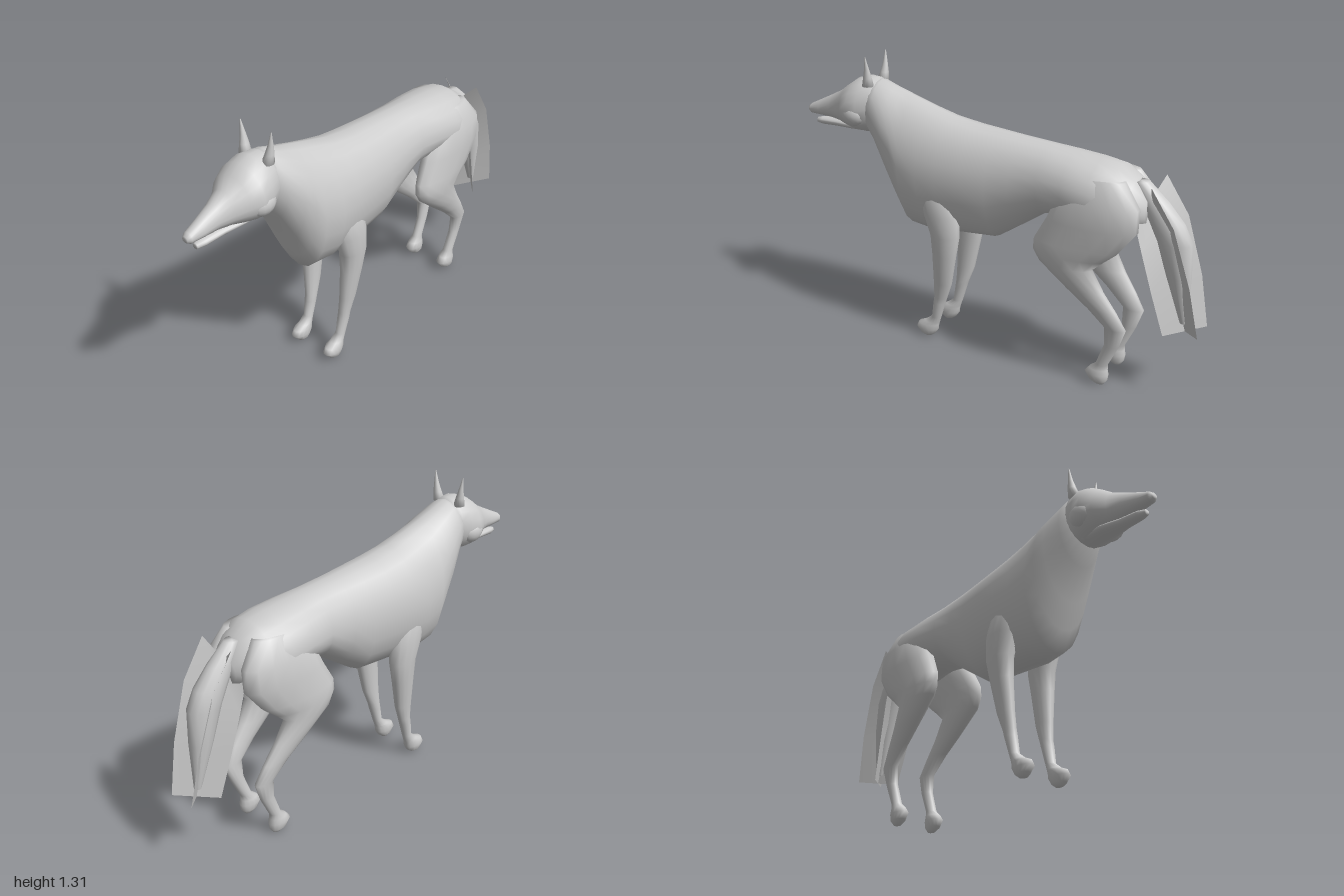
import * as THREE from 'three';

const SIDES = 20;

// Skins a list of closed rings, caps both ends and turns the faces outward.
function loft(rings) {
  const n = rings[0].length, pos = [], idx = [];
  rings.forEach(r => r.forEach(p => pos.push(...p)));
  for (let i = 0; i < rings.length - 1; i++)
    for (let j = 0; j < n; j++) {
      const a = i * n + j, b = i * n + (j + 1) % n;
      idx.push(a, b, a + n, b, b + n, a + n);
    }
  [0, rings.length - 1].forEach(i => {
    const c = pos.length / 3;
    pos.push(...[0, 1, 2].map(k => rings[i].reduce((s, p) => s + p[k], 0) / n));
    for (let j = 0; j < n; j++) {
      const a = i * n + j, b = i * n + (j + 1) % n;
      if (i === 0) idx.push(c, b, a); else idx.push(c, a, b);
    }
  });
  // signed volume decides the winding
  const v = k => new THREE.Vector3().fromArray(pos, idx[k] * 3);
  const mid = new THREE.Vector3(...rings[rings.length >> 1][0]);
  let vol = 0;
  for (let k = 0; k < idx.length; k += 3)
    vol += v(k).sub(mid).dot(v(k + 1).sub(mid).cross(v(k + 2).sub(mid)));
  if (vol < 0) idx.reverse();
  const g = new THREE.BufferGeometry();
  g.setAttribute('position', new THREE.Float32BufferAttribute(pos, 3));
  g.setIndex(idx);
  g.computeVertexNormals();
  return g;
}

// Upright ring: [z, top, bottom, half width, height of widest point, upper power]
function uprightRing([z, top, bottom, w, wide, power = 1]) {
  return Array.from({ length: SIDES }, (_, j) => {
    const a = j / SIDES * Math.PI * 2, c = Math.cos(a), s = Math.sin(a);
    const x = Math.sign(c) * Math.abs(c) ** (s > 0 ? power : 1) * w;
    return [x, wide + s * (s > 0 ? top - wide : wide - bottom), z];
  });
}

// Level ring: [y, front z, back z, centre x, half width], mirrored by side
const levelRing = side => ([y, front, back, x, w]) =>
  Array.from({ length: 14 }, (_, j) => {
    const a = j / 14 * Math.PI * 2;
    return [side * (x + Math.cos(a) * w), y, (front + back) / 2 + Math.sin(a) * (front - back) / 2];
  });

const BODY = [
  [0.64, 1.19, 0.97, 0.09, 1.08],
  [0.57, 1.195, 0.87, 0.118, 1.04, 1.1],
  [0.5, 1.17, 0.73, 0.145, 0.97, 1.2],
  [0.45, 1.155, 0.62, 0.158, 0.92, 1.2],
  [0.4, 1.14, 0.535, 0.168, 0.85, 1.2],
  [0.3, 1.11, 0.525, 0.176, 0.82, 1.2],
  [0.2, 1.08, 0.535, 0.177, 0.82, 1.1],
  [0.08, 1.06, 0.545, 0.17, 0.82],
  [-0.04, 1.05, 0.555, 0.16, 0.82],
  [-0.15, 1.04, 0.63, 0.15, 0.84],
  [-0.28, 1.03, 0.72, 0.145, 0.86],
  [-0.4, 1.02, 0.74, 0.163, 0.86],
  [-0.52, 1.008, 0.72, 0.175, 0.85],
  [-0.61, 0.995, 0.71, 0.16, 0.84],
  [-0.68, 0.95, 0.72, 0.125, 0.83],
  [-0.74, 0.88, 0.76, 0.07, 0.82],
];
const HEAD = [
  [0.55, 1.18, 0.97, 0.08, 1.08],
  [0.6, 1.2, 0.945, 0.105, 1.07],
  [0.65, 1.203, 0.94, 0.122, 1.06],
  [0.7, 1.187, 0.945, 0.128, 1.055, 1.1],
  [0.75, 1.152, 0.955, 0.108, 1.05],
  [0.8, 1.115, 0.965, 0.07, 1.03],
  [0.86, 1.084, 0.972, 0.047, 1.02],
  [0.93, 1.05, 0.974, 0.035, 1.005],
  [0.985, 1.024, 0.975, 0.026, 1.0],
  [1.0, 1.012, 0.985, 0.015, 0.998],
];
const JAW = [
  [0.64, 0.985, 0.942, 0.06, 0.965],
  [0.74, 0.982, 0.938, 0.055, 0.962],
  [0.83, 0.972, 0.934, 0.035, 0.955],
  [0.92, 0.966, 0.929, 0.026, 0.95],
  [0.955, 0.958, 0.932, 0.014, 0.945],
];
const FRONT_LEG = [
  [0.78, 0.31, 0.14, 0.115, 0.05],
  [0.65, 0.29, 0.11, 0.118, 0.055],
  [0.55, 0.255, 0.11, 0.118, 0.05],
  [0.45, 0.25, 0.13, 0.115, 0.042],
  [0.3, 0.252, 0.16, 0.106, 0.031],
  [0.22, 0.255, 0.19, 0.1, 0.026],
  [0.19, 0.26, 0.2, 0.1, 0.027],
  [0.11, 0.272, 0.225, 0.098, 0.022],
  [0.08, 0.31, 0.235, 0.097, 0.027],
  [0.065, 0.345, 0.24, 0.097, 0.033],
  [0.04, 0.358, 0.243, 0.097, 0.035],
  [0.015, 0.335, 0.26, 0.097, 0.029],
  [0, 0.32, 0.28, 0.095, 0.015],
];
const BACK_LEG = [
  [0.95, -0.48, -0.66, 0.085, 0.05],
  [0.85, -0.37, -0.735, 0.108, 0.072],
  [0.75, -0.325, -0.735, 0.115, 0.07],
  [0.65, -0.272, -0.66, 0.125, 0.06],
  [0.6, -0.27, -0.6, 0.128, 0.056],
  [0.55, -0.3, -0.545, 0.127, 0.052],
  [0.45, -0.42, -0.6, 0.12, 0.04],
  [0.37, -0.52, -0.655, 0.112, 0.031],
  [0.29, -0.605, -0.702, 0.105, 0.026],
  [0.2, -0.605, -0.672, 0.1, 0.023],
  [0.1, -0.57, -0.625, 0.098, 0.023],
  [0.075, -0.54, -0.625, 0.097, 0.03],
  [0.05, -0.52, -0.63, 0.097, 0.035],
  [0.02, -0.54, -0.625, 0.097, 0.03],
  [0, -0.57, -0.61, 0.095, 0.015],
];
const TAIL = [
  [0.94, -0.66, -0.73, 0, 0.03],
  [0.86, -0.69, -0.82, 0, 0.045],
  [0.78, -0.735, -0.89, 0, 0.055],
  [0.7, -0.775, -0.93, 0, 0.058],
  [0.55, -0.825, -0.935, 0, 0.045],
  [0.34, -0.9, -0.932, 0, 0.015],
];
// Tail fur edges: [front z, front y, back z, back y, half width]
const FUR = [
  [-0.71, 0.78, -0.77, 0.95, 0.09],
  [-0.745, 0.66, -0.875, 0.79, 0.09],
  [-0.795, 0.48, -0.955, 0.54, 0.08],
  [-0.85, 0.29, -1.0, 0.315, 0.065],
];

function furStrip(side) {
  const pos = [], idx = [];
  FUR.forEach(([zf, yf, zb, yb, w], i) => {
    pos.push(side * w, yf, zf, -side * w, yb, zb);
    if (i) {
      const a = i * 2 - 2;
      idx.push(a, a + 1, a + 2, a + 1, a + 3, a + 2);
    }
  });
  const g = new THREE.BufferGeometry();
  g.setAttribute('position', new THREE.Float32BufferAttribute(pos, 3));
  g.setIndex(idx);
  g.computeVertexNormals();
  return g;
}

export function createModel() {
  const group = new THREE.Group();
  const fur = new THREE.MeshStandardMaterial({ color: 0xcccccc, side: THREE.DoubleSide });
  fur.name = 'grey fur';
  const add = (name, geometry) => {
    const m = new THREE.Mesh(geometry, fur);
    m.name = name;
    group.add(m);
    return m;
  };

  add('body', loft(BODY.map(uprightRing)));
  add('head', loft(HEAD.map(uprightRing)));
  add('lowerJaw', loft(JAW.map(uprightRing)));
  add('tail', loft(TAIL.map(levelRing(1))));

  for (const [side, label] of [[1, 'left'], [-1, 'right']]) {
    add(label + 'FrontLeg', loft(FRONT_LEG.map(levelRing(side))));
    add(label + 'BackLeg', loft(BACK_LEG.map(levelRing(side))));
    // narrow pointed ear leaning slightly outward
    add(label + 'Ear', loft([
      [1.17, 0.64, 0.585, 0.06, 0.026],
      [1.21, 0.628, 0.588, 0.067, 0.019],
      [1.25, 0.618, 0.594, 0.073, 0.011],
      [1.308, 0.609, 0.605, 0.081, 0.002],
    ].map(levelRing(side))));
    // cheek bulge
    const cheek = add(label + 'Cheek', new THREE.SphereGeometry(1, 16, 10));
    cheek.scale.set(0.05, 0.055, 0.065);
    cheek.position.set(side * 0.082, 1.035, 0.68);
    // crossed fur planes along the tail
    add(label + 'TailFur', furStrip(side));
  }
  return group;
}
